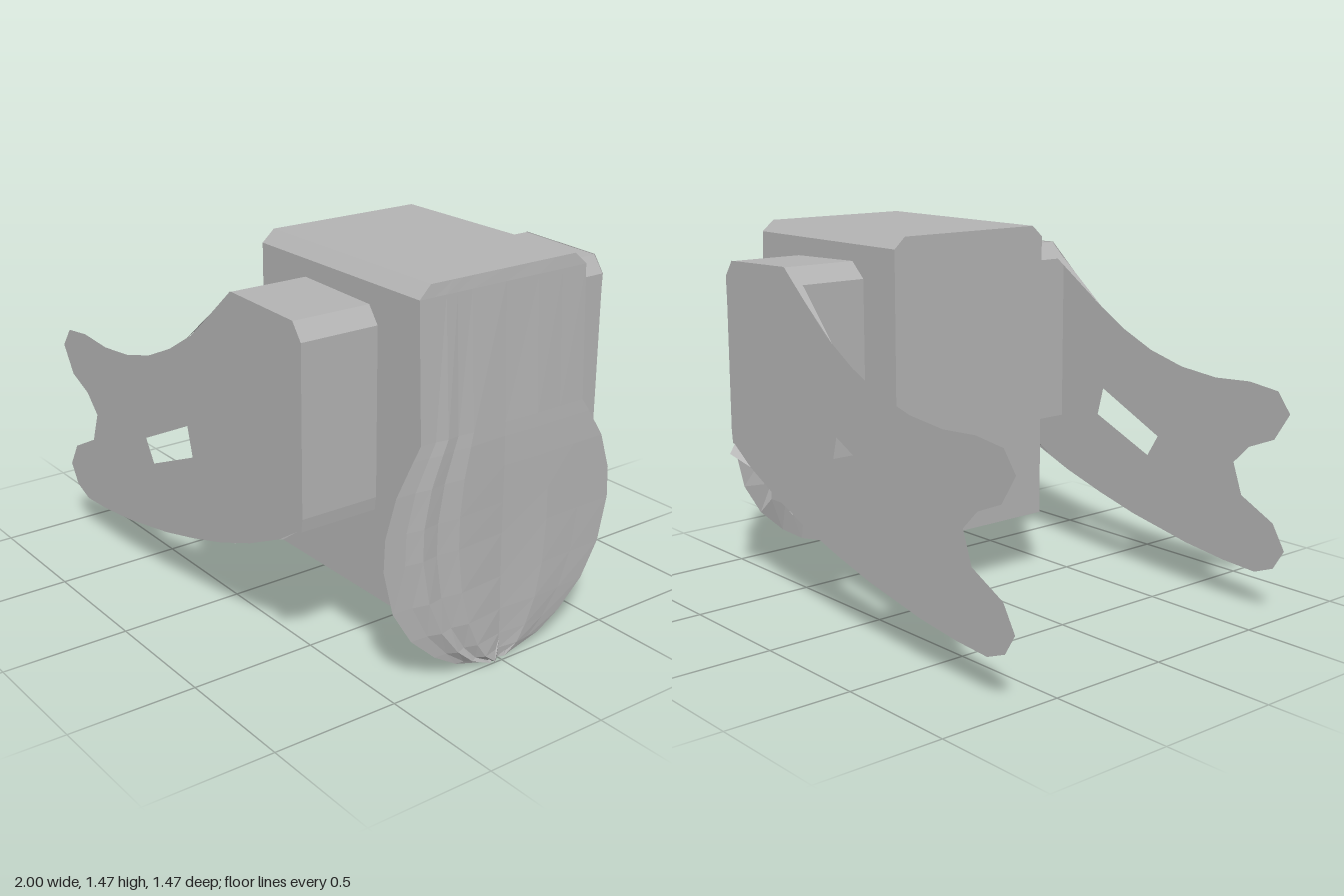
import * as THREE from 'three';

const grey = new THREE.MeshStandardMaterial({ color: 0xb2b2b2, side: THREE.DoubleSide, flatShading: true });
grey.name = 'plain grey';

const vec = (pts) => pts.map(([x, y]) => new THREE.Vector2(x, y));

function part(name, geometry, parent) {
  const mesh = new THREE.Mesh(geometry, grey);
  mesh.name = name;
  parent.add(mesh);
  return mesh;
}

function surface(points, index) {
  const g = new THREE.BufferGeometry();
  g.setAttribute('position', new THREE.Float32BufferAttribute(points.flat(), 3));
  g.setIndex(index);
  g.computeVertexNormals();
  return g;
}

// Block with two chamfered upper edges, extruded along x
function makeBody(parent) {
  const shape = new THREE.Shape(vec([
    [-0.375, 0.26], [0.375, 0.26], [0.375, 1.42], [0.325, 1.465], [-0.325, 1.465], [-0.375, 1.42],
  ]));
  const g = new THREE.ExtrudeGeometry(shape, { depth: 0.9, bevelEnabled: false });
  g.rotateY(Math.PI / 2);
  g.translate(0.04, 0, 0);
  part('body', g, parent);
}

// Gently rippled end plate: narrow on top, round below, its rim folded back to the body
function makeEndPlate(parent) {
  const rows = [ // y, half width, x
    [0, 0.07, 0.97], [0.04, 0.2, 0.975], [0.1, 0.3, 0.975], [0.2, 0.41, 0.975],
    [0.33, 0.49, 0.972], [0.5, 0.53, 0.97], [0.62, 0.525, 0.97], [0.76, 0.48, 0.97],
    [0.87, 0.41, 0.968], [0.92, 0.375, 0.966], [1.42, 0.375, 0.945], [1.465, 0.325, 0.94],
  ];
  const columns = [ // fraction of half width, ripple
    [-1, 0], [-0.7, 0.006], [-0.4, 0.014], [0, 0.004], [0.4, 0.026],
    [0.57, 0.008], [0.7, 0.024], [0.83, 0.004], [1, 0],
  ];
  const points = [];
  for (const [y, w, x] of rows) {
    const fold = (z) => [0.94, Math.max(y, 0.26), THREE.MathUtils.clamp(z, -0.375, 0.375)];
    points.push(fold(-w));
    for (const [f, ripple] of columns) points.push([x + ripple * (1 - y / 1.465), y, f * w]);
    points.push(fold(w));
  }
  const n = columns.length + 2;
  const index = [];
  for (let r = 0; r < rows.length - 1; r++) {
    for (let c = 0; c < n - 1; c++) {
      const a = r * n + c, b = a + 1, d = a + n, e = d + 1;
      index.push(a, d, b, b, d, e);
    }
  }
  // Close the lowest edge
  for (let c = 1; c < n - 2; c++) index.push(0, c, c + 1);
  index.push(0, n - 2, n - 1);
  part('endPlate', surface(points, index), parent);
}

// Forked side arm with a slot, joined to the body by a raised pod
function makeArm(side, parent) {
  const arm = new THREE.Group();
  arm.name = side > 0 ? 'frontArm' : 'backArm';
  parent.add(arm);

  const outline = new THREE.Shape(vec([
    [-1, 0.81], [-0.94, 0.89], [-0.8, 0.907], [-0.63, 0.897], [-0.45, 0.915], [-0.28, 0.96],
    [-0.12, 1.03], [0.04, 1.125], [0.2, 1.26], [0.31, 1.355], [0.68, 1.345], [0.727, 1.28],
    [0.705, 0.6], [0.68, 0.575], [0.59, 0.525], [0.4, 0.435], [0.2, 0.36], [0, 0.3],
    [-0.2, 0.248], [-0.5, 0.19], [-0.7, 0.165], [-0.86, 0.155], [-0.95, 0.19], [-1, 0.27],
    [-0.94, 0.37], [-0.78, 0.45], [-0.735, 0.575], [-0.81, 0.65], [-0.93, 0.7],
  ]));
  outline.holes.push(new THREE.Path(vec([
    [-0.33, 0.605], [-0.01, 0.757], [0.02, 0.64], [-0.275, 0.515],
  ])));
  const plate = new THREE.ShapeGeometry(outline);
  plate.translate(0, 0, side * 0.692);
  part('armPlate', plate, arm);

  const podShape = new THREE.Shape(vec([
    [0.24, 0.6], [0.72, 0.6], [0.727, 0.65], [0.727, 1.28], [0.68, 1.343], [0.31, 1.353], [0.24, 1.29],
  ]));
  const pod = new THREE.ExtrudeGeometry(podShape, { depth: 0.32, bevelEnabled: false });
  pod.translate(0, 0, side > 0 ? 0.37 : -0.69);
  part('pod', pod, arm);

  // Small folds where the arm meets the pod
  const folds = {
    upperFold: [[0, 1.1, 0.692], [0.24, 1.29, 0.692], [0.24, 1.29, 0.655]],
    lowerFold: [[0.29, 0.39, 0.692], [0.7, 0.6, 0.692], [0.6, 0.6, 0.655]],
    outerFold: [[0.59, 0.525, 0.692], [0.705, 0.6, 0.692], [0.675, 0.57, 0.733]],
  };
  for (const [name, tri] of Object.entries(folds)) {
    const order = side > 0 ? [0, 1, 2] : [0, 2, 1];
    part(name, surface(tri.map(([x, y, z]) => [x, y, side * z]), order), arm);
  }
}

export function createModel() {
  const model = new THREE.Group();
  model.name = 'bracketAssembly';
  makeBody(model);
  makeEndPlate(model);
  for (const side of [1, -1]) makeArm(side, model);
  return model;
}
